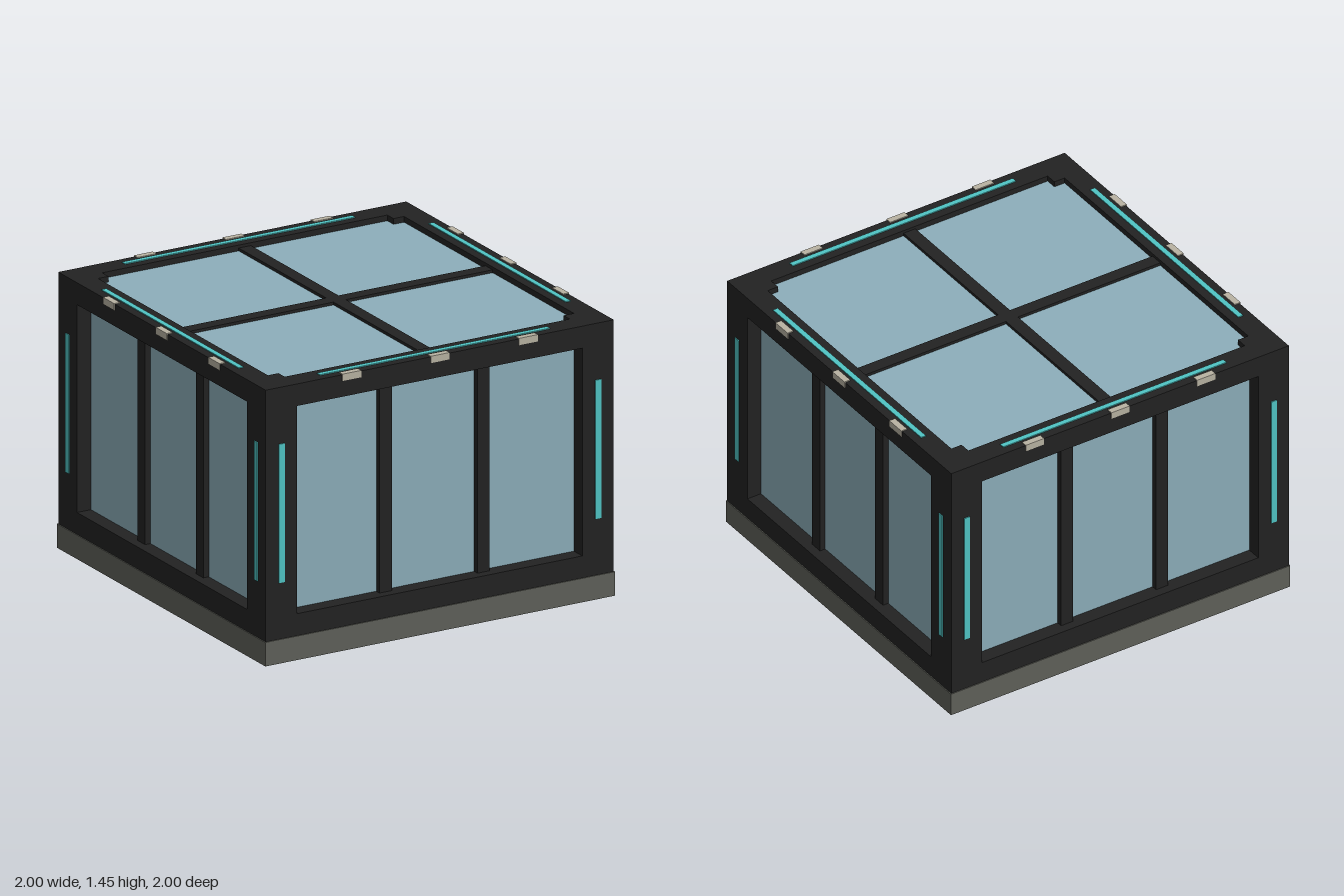
import * as THREE from 'three';

const mat = (name, color) => Object.assign(new THREE.MeshStandardMaterial({ color }), { name });

export function createModel() {
  const frame = mat('charcoal frame', 0x222222);
  const glass = mat('blue glass', 0x8dafbb);
  const stone = mat('grey base', 0x60615a);
  const teal = mat('teal light', 0x50c4c4);
  const clip = mat('beige clip', 0xb9b3a3);

  const model = new THREE.Group();
  model.name = 'glassEnclosure';

  // Box from its size and centre
  const box = (parent, name, material, [w, h, d], [x, y, z]) => {
    const mesh = new THREE.Mesh(new THREE.BoxGeometry(w, h, d), material);
    mesh.name = name;
    mesh.position.set(x, y, z);
    parent.add(mesh);
  };

  // Plinth
  box(model, 'base', stone, [2, 0.125, 2], [0, 0.0625, 0]);

  // Corner posts
  for (const x of [-1, 1]) for (const z of [-1, 1])
    box(model, 'cornerPost', frame, [0.18, 1.315, 0.18], [x * 0.905, 0.7825, z * 0.905]);

  // Four equal walls, each turned about the centre
  for (let i = 0; i < 4; i++) {
    const wall = new THREE.Group();
    wall.name = 'wall';
    wall.rotation.y = i * Math.PI / 2;
    model.add(wall);

    box(wall, 'bottomRail', frame, [1.63, 0.115, 0.12], [0, 0.1825, 0.935]);
    box(wall, 'topRail', frame, [1.63, 0.115, 0.12], [0, 1.3825, 0.935]);
    box(wall, 'windowPane', glass, [1.63, 1.085, 0.02], [0, 0.7825, 0.905]);
    for (const x of [-0.28, 0.28])
      box(wall, 'mullion', frame, [0.07, 1.085, 0.075], [x, 0.7825, 0.9085]);

    // Light strips on the posts and on the roof edge
    for (const x of [-0.905, 0.905])
      box(wall, 'postLight', teal, [0.032, 0.725, 0.008], [x, 0.7825, 0.996]);
    box(wall, 'roofLight', teal, [1.315, 0.008, 0.028], [0, 1.441, 0.935]);

    // Clips along the top edge
    for (const x of [-0.505, 0, 0.505])
      box(wall, 'clip', clip, [0.107, 0.036, 0.034], [x, 1.427, 0.983]);
  }

  // Roof pane with crossing bars
  box(model, 'roofPane', glass, [1.75, 0.02, 1.75], [0, 1.4, 0]);
  box(model, 'roofBarAcross', frame, [1.75, 0.07, 0.07], [0, 1.39, 0]);
  box(model, 'roofBarAlong', frame, [0.07, 0.07, 1.75], [0, 1.39, 0]);

  return model;
}
